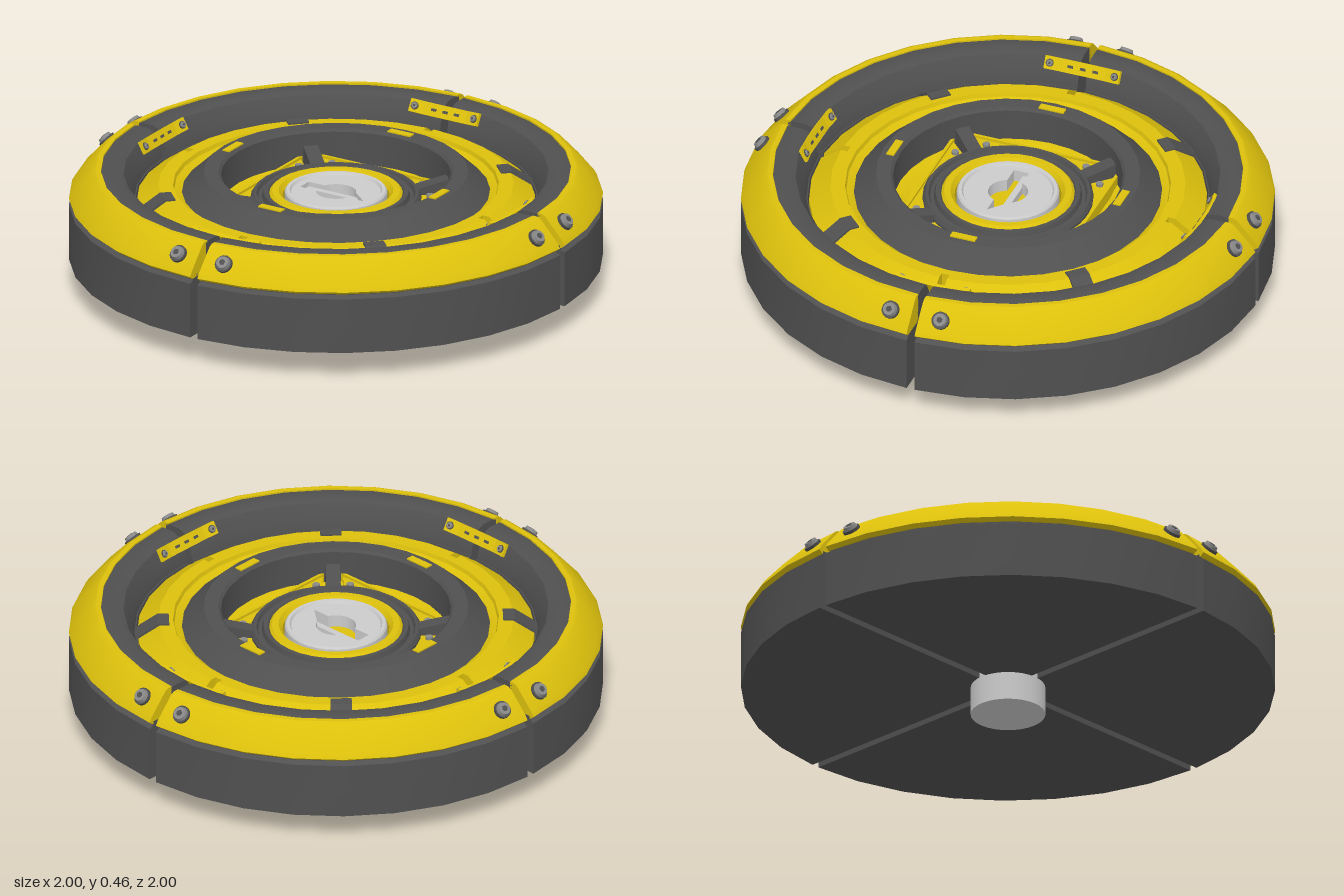
import * as THREE from 'three';
import { toCreasedNormals } from 'three/addons/utils/BufferGeometryUtils.js';

const yellow = new THREE.MeshStandardMaterial({ color: 0xdcc00c });
const dark = new THREE.MeshStandardMaterial({ color: 0x505050 });
const steel = new THREE.MeshStandardMaterial({ color: 0x888888 });
const grey = new THREE.MeshStandardMaterial({ color: 0xcccccc });
const GAP = 0.016; // half width of the slits between the quarters

function add(parent, name, geometry, material, x = 0, y = 0, z = 0) {
  const mesh = new THREE.Mesh(geometry, material);
  mesh.name = name;
  mesh.position.set(x, y, z);
  parent.add(mesh);
  return mesh;
}

// Sweeps a closed counter-clockwise [radius, y] profile round the axis:
// a quarter with parallel-sided slits, or the full circle
function ring(profile, quarter = false) {
  const steps = quarter ? 8 : 32, n = profile.length, pos = [], idx = [];
  for (let k = 0; k <= steps; k++) {
    for (const [r, y] of profile) {
      const a0 = quarter ? Math.asin(GAP / r) : 0;
      const span = quarter ? Math.PI / 2 - 2 * a0 : Math.PI * 2;
      const a = a0 + span * k / steps;
      pos.push(r * Math.cos(a), y, r * Math.sin(a));
    }
  }
  for (let k = 0; k < steps; k++) {
    for (let i = 0; i < n; i++) {
      const a = k * n + i, b = k * n + (i + 1) % n;
      idx.push(a, b, a + n, b, b + n, a + n);
    }
  }
  if (quarter) {
    const outline = profile.map(([r, y]) => new THREE.Vector2(r, y));
    for (const [a, b, c] of THREE.ShapeUtils.triangulateShape(outline, [])) {
      idx.push(a, c, b, steps * n + a, steps * n + b, steps * n + c);
    }
  }
  const g = new THREE.BufferGeometry();
  g.setAttribute('position', new THREE.Float32BufferAttribute(pos, 3));
  g.setIndex(idx);
  return toCreasedNormals(g, 0.4);
}

// Extrudes an outline; flat ones are laid with their thickness along y
function slab(points, depth, flat, hole) {
  const shape = new THREE.Shape(points.map(([x, y]) => new THREE.Vector2(x, y)));
  if (hole) shape.holes.push(hole);
  const g = new THREE.ExtrudeGeometry(shape, { depth, bevelEnabled: false, curveSegments: 16 });
  return flat ? g.rotateX(-Math.PI / 2) : g.translate(0, 0, -depth / 2);
}

// Round bolt with a hexagonal socket, facing along the given normal
function bolt(parent, position, normal, r) {
  const g = new THREE.Group();
  g.name = 'bolt';
  add(g, 'boltWasher', new THREE.CylinderGeometry(r, r, r * 0.5, 16), dark);
  add(g, 'boltHead', new THREE.CylinderGeometry(r * 0.7, r * 0.85, r * 0.5, 16), steel, 0, r * 0.4, 0);
  add(g, 'boltSocket', new THREE.CylinderGeometry(r * 0.35, r * 0.35, r * 0.1, 6), dark, 0, r * 0.66, 0);
  g.position.set(...position);
  g.quaternion.setFromUnitVectors(new THREE.Vector3(0, 1, 0), new THREE.Vector3(...normal).normalize());
  parent.add(g);
}

function makeQuarter() {
  const q = new THREE.Group();
  q.name = 'quarter';
  add(q, 'baseSegment', ring([[0.1, 0.11], [1, 0.11], [1, 0.325], [0.98, 0.335], [0.98, 0.35],
    [0.75, 0.35], [0.74, 0.25], [0.1, 0.25]], true), dark);
  add(q, 'outerRim', ring([[0.88, 0.34], [0.985, 0.34], [1, 0.352], [0.99, 0.37], [0.915, 0.452],
    [0.9, 0.46], [0.88, 0.46]], true), yellow);
  add(q, 'innerRim', ring([[0.75, 0.25], [0.89, 0.25], [0.89, 0.45], [0.87, 0.458], [0.82, 0.458],
    [0.795, 0.448], [0.765, 0.395], [0.75, 0.33]], true), dark);
  add(q, 'slopedRing', ring([[0.635, 0.25], [0.745, 0.25], [0.745, 0.345], [0.665, 0.4], [0.635, 0.4]], true), yellow);

  // Bolts beside both slits
  bolt(q, [0.1, 0.41, 0.947], [0.08, 0.7, 0.76], 0.034);
  bolt(q, [0.947, 0.41, 0.1], [0.76, 0.7, 0.08], 0.034);

  // Bent plate bridging the slit, lying on the inner slope
  const plate = new THREE.Group();
  plate.name = 'bridgePlate';
  add(plate, 'plateMiddle', new THREE.BoxGeometry(0.2, 0.012, 0.05), yellow);
  for (const s of [-1, 1]) {
    const end = add(plate, 'plateEnd', new THREE.BoxGeometry(0.06, 0.012, 0.05), yellow, s * 0.122, 0.006, 0);
    end.rotation.z = s * 0.2;
    bolt(plate, [s * 0.13, 0.014, 0], [-s * 0.2, 1, 0], 0.015);
  }
  for (const x of [-0.05, 0, 0.05]) {
    add(plate, 'plateSlot', new THREE.BoxGeometry(0.022, 0.004, 0.01), dark, x, 0.006, 0);
  }
  plate.position.set(0, 0.427, 0.773);
  plate.rotation.x = -1.05;
  q.add(plate);

  // Tab in the middle ring
  add(q, 'ringTab', new THREE.BoxGeometry(0.1, 0.03, 0.03), yellow, 0, 0.44, 0.455);

  // Trapezoid cover plate with a raised outer lip and two screws
  add(q, 'coverPlate', slab([[-0.28, -0.335], [0.28, -0.335], [0.19, -0.245], [-0.19, -0.245]], 0.03, true),
    yellow, 0, 0.31, 0);
  add(q, 'coverLip', new THREE.BoxGeometry(0.56, 0.05, 0.012), yellow, 0, 0.325, 0.33);
  for (const s of [-1, 1]) {
    add(q, 'coverScrew', new THREE.CylinderGeometry(0.014, 0.014, 0.012, 10), steel, s * 0.2, 0.345, 0.29);
  }

  // Parts on the diagonal: block across the sloped ring, strut and wall rib
  const diagonal = new THREE.Group();
  diagonal.name = 'diagonalParts';
  diagonal.rotation.y = -Math.PI / 4;
  add(diagonal, 'ringBlock', slab([[0.625, 0.3], [0.75, 0.3], [0.75, 0.35], [0.668, 0.406], [0.625, 0.406]], 0.08), dark);
  add(diagonal, 'strut', slab([[0.3, 0.27], [0.435, 0.27], [0.435, 0.39], [0.41, 0.385], [0.3, 0.36]], 0.055), dark);
  q.add(diagonal);
  return q;
}

export function createModel() {
  const model = new THREE.Group();
  model.name = 'segmentedDisc';
  for (let k = 0; k < 4; k++) {
    const q = makeQuarter();
    q.rotation.y = k * Math.PI / 2;
    model.add(q);
  }

  add(model, 'stem', new THREE.CylinderGeometry(0.14, 0.14, 0.25, 32), grey, 0, 0.125, 0);
  add(model, 'coreFloor', new THREE.CylinderGeometry(0.6, 0.6, 0.02, 32), dark, 0, 0.25, 0);

  // Concentric rings from the outside in
  add(model, 'yellowRing', ring([[0.56, 0.24], [0.64, 0.24], [0.64, 0.4], [0.61, 0.4], [0.605, 0.385],
    [0.58, 0.375], [0.56, 0.36]]), yellow);
  add(model, 'middleRing', ring([[0.43, 0.25], [0.585, 0.25], [0.585, 0.365], [0.505, 0.44], [0.495, 0.45],
    [0.44, 0.45], [0.43, 0.44]]), dark);
  add(model, 'wellFloor', ring([[0.25, 0.25], [0.44, 0.25], [0.44, 0.315], [0.405, 0.31], [0.38, 0.295],
    [0.25, 0.295]]), yellow);
  add(model, 'hubCollar', ring([[0.245, 0.25], [0.32, 0.25], [0.32, 0.35], [0.31, 0.365], [0.298, 0.365],
    [0.292, 0.35], [0.278, 0.35], [0.272, 0.37], [0.255, 0.37], [0.245, 0.355]]), dark);
  add(model, 'hubRing', ring([[0.2, 0.25], [0.25, 0.25], [0.25, 0.365], [0.24, 0.375], [0.215, 0.375],
    [0.2, 0.355]]), yellow);

  // Hub cap with a keyhole: a round hole crossed by a bar
  add(model, 'hubCapRim', ring([[0.168, 0.26], [0.192, 0.26], [0.192, 0.37], [0.186, 0.378], [0.174, 0.378],
    [0.168, 0.368]]), grey);
  const hole = new THREE.Path();
  const half = Math.asin(0.03 / 0.075);
  hole.moveTo(0.14, 0.03);
  hole.absarc(0, 0, 0.075, half, Math.PI - half, false);
  hole.lineTo(-0.14, 0.03);
  hole.lineTo(-0.14, -0.03);
  hole.absarc(0, 0, 0.075, Math.PI + half, -half, false);
  hole.lineTo(0.14, -0.03);
  hole.closePath();
  const circle = Array.from({ length: 32 }, (_, i) => {
    const a = i * Math.PI / 16;
    return [0.17 * Math.cos(a), 0.17 * Math.sin(a)];
  });
  add(model, 'hubCapFace', slab(circle, 0.06, true, hole), grey, 0, 0.308, 0);
  add(model, 'keyholeFloor', new THREE.CylinderGeometry(0.165, 0.165, 0.06, 32), yellow, 0, 0.29, 0);
  add(model, 'keyholeStep', new THREE.BoxGeometry(0.28, 0.03, 0.025), grey, 0, 0.335, -0.018);
  return model;
}
